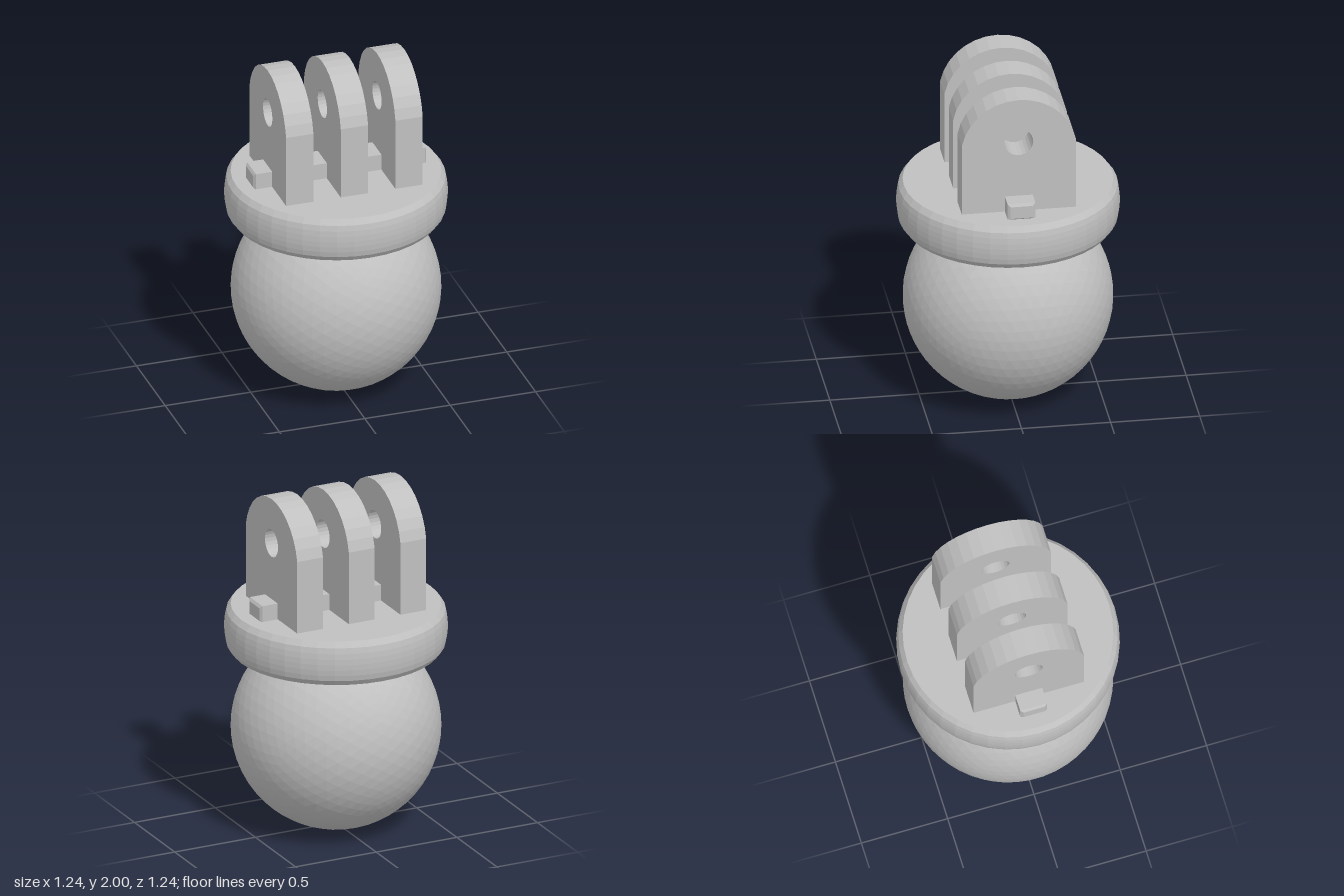
import * as THREE from 'three';

// Faceted normals for a low-poly look
function faceted(geometry) {
  const g = geometry.index ? geometry.toNonIndexed() : geometry;
  g.computeVertexNormals();
  return g;
}

export function createModel() {
  const group = new THREE.Group();
  const grey = new THREE.MeshStandardMaterial({ color: 0xc0c0c0 });
  grey.name = 'grey plastic';

  function add(name, geometry, x = 0, y = 0, z = 0) {
    const mesh = new THREE.Mesh(geometry, grey);
    mesh.name = name;
    mesh.position.set(x, y, z);
    group.add(mesh);
    return mesh;
  }

  // Ball
  add('ball', faceted(new THREE.IcosahedronGeometry(0.585, 9)), 0, 0.585, 0);

  // Collar: flat disc with a bulging rim
  const yLow = 1.05, yHigh = 1.31, steps = 8;
  const profile = [new THREE.Vector2(0, yLow)];
  for (let i = 0; i <= steps; i++) {
    const t = -1 + (2 * i) / steps;
    profile.push(new THREE.Vector2(
      0.585 + 0.036 * Math.sqrt(1 - t * t),
      (yLow + yHigh) / 2 + ((yHigh - yLow) / 2) * t
    ));
  }
  profile.push(new THREE.Vector2(0, yHigh));
  add('collar', faceted(new THREE.LatheGeometry(profile, 40)));

  // Prongs: arched plates with a pivot hole
  const half = 0.32, radius = 0.326, centreY = 1.674, base = 1.3, thick = 0.16;
  const start = Math.acos(half / radius);
  const arch = new THREE.Shape();
  arch.moveTo(-half, base);
  arch.lineTo(half, base);
  const arcSteps = 14;
  for (let i = 0; i <= arcSteps; i++) {
    const a = start + ((Math.PI - 2 * start) * i) / arcSteps;
    arch.lineTo(radius * Math.cos(a), centreY + radius * Math.sin(a));
  }
  arch.closePath();
  const hole = new THREE.Path();
  hole.absarc(0, 1.737, 0.081, 0, Math.PI * 2, true);
  arch.holes.push(hole);
  const prong = new THREE.ExtrudeGeometry(arch, {
    depth: thick, bevelEnabled: false, curveSegments: 12
  });
  prong.translate(0, 0, -thick / 2);
  prong.rotateY(Math.PI / 2);
  ['rightProng', 'middleProng', 'leftProng'].forEach((name, i) => add(name, prong, (i - 1) * 0.32));

  // Cross bar with chamfered ends
  const bar = new THREE.Shape();
  const w = 0.062, h0 = 1.316, h1 = 1.388;
  bar.moveTo(-w, h0);
  bar.lineTo(w, h0);
  bar.lineTo(w, h1);
  bar.lineTo(-w, h1);
  bar.closePath();
  const barGeometry = new THREE.ExtrudeGeometry(bar, {
    depth: 0.99, bevelEnabled: true, bevelSize: 0.016, bevelThickness: 0.011, bevelSegments: 1
  });
  barGeometry.translate(0, 0, -0.495);
  barGeometry.rotateY(Math.PI / 2);
  add('crossBar', barGeometry);

  return group;
}
